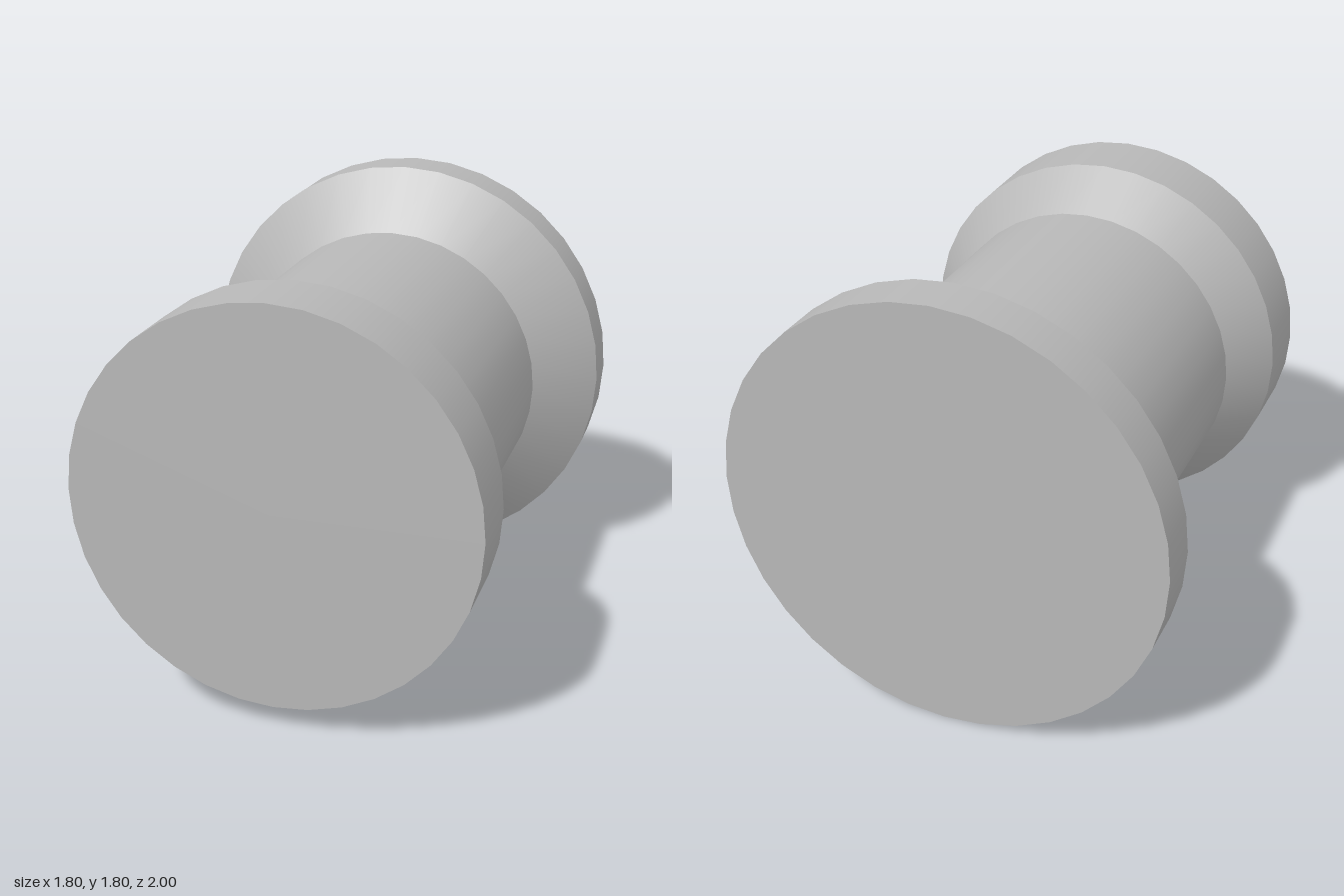
import * as THREE from 'three';

const SIDES = 36;
const AXIS_Y = 0.9;

export function createModel() {
  const model = new THREE.Group();
  model.name = 'spool';
  const grey = new THREE.MeshStandardMaterial({ color: 0xb8b8b8 });
  grey.name = 'grey';

  const add = (name, geometry, z) => {
    const mesh = new THREE.Mesh(geometry, grey);
    mesh.name = name;
    mesh.position.set(0, AXIS_Y, z);
    model.add(mesh);
  };

  // Open ring wall from the back (z0, r0) to the front (z1, r1)
  const wall = (name, z0, r0, z1, r1) => {
    const geometry = new THREE.CylinderGeometry(r1, r0, z1 - z0, SIDES, 1, true);
    add(name, geometry.rotateX(Math.PI / 2), (z0 + z1) / 2);
  };

  // Walls along the spool axis, back to front
  wall('backFlangeRim', -1, 0.9, -0.8, 0.9);
  wall('backFlangeTaper', -0.8, 0.9, -0.6, 0.65);
  wall('barrel', -0.6, 0.65, 0.5, 0.65);
  wall('frontFlangeTaper', 0.5, 0.65, 0.7, 0.8);
  wall('frontFlangeRim', 0.7, 0.8, 1, 0.8);

  // Flat end faces
  add('frontFace', new THREE.CircleGeometry(0.8, SIDES), 1);
  add('backFace', new THREE.CircleGeometry(0.9, SIDES).rotateY(Math.PI), -1);

  return model;
}
